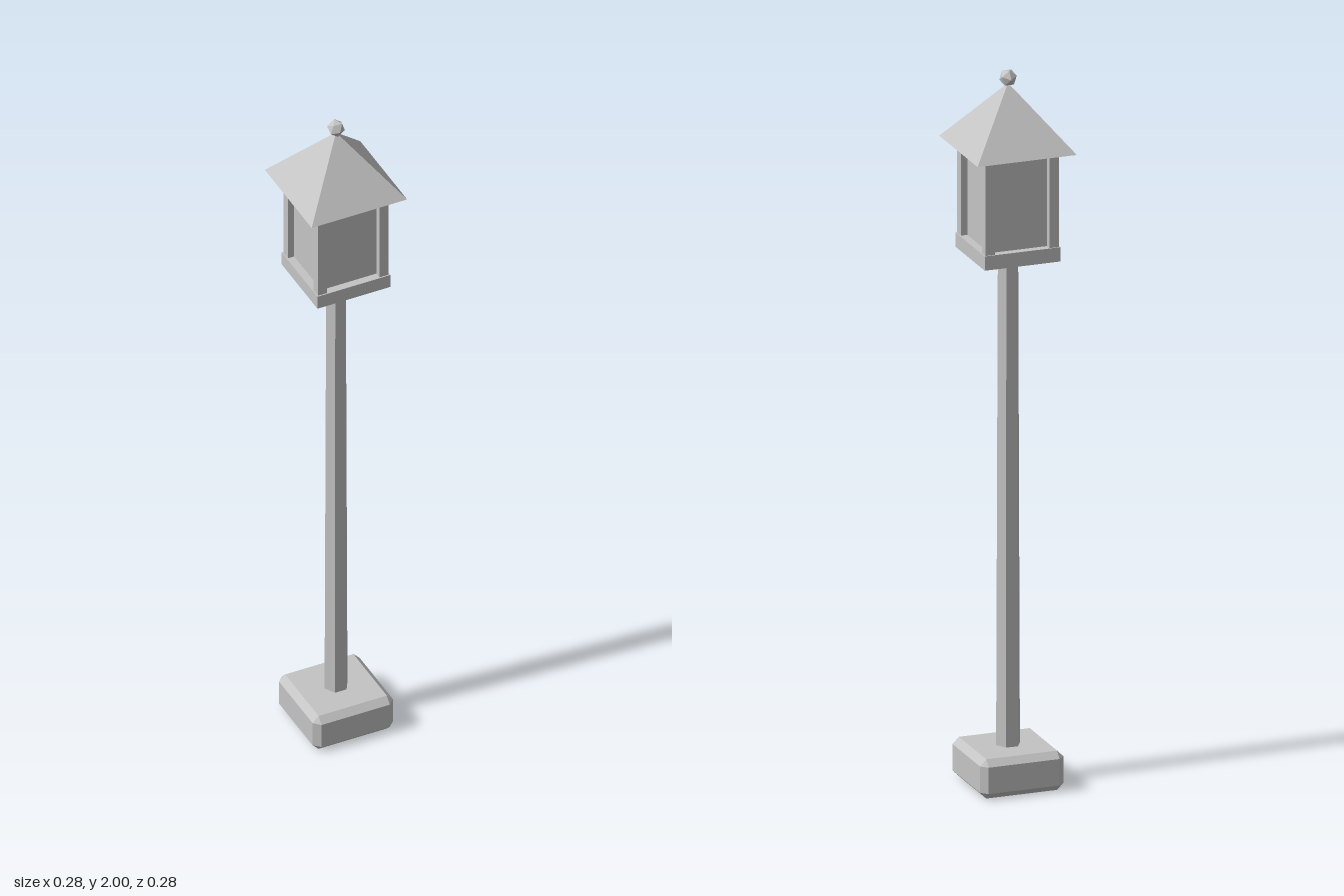
import * as THREE from 'three';
import { ConvexGeometry } from 'three/addons/geometries/ConvexGeometry.js';

const stone = new THREE.MeshStandardMaterial({ color: 0xc4c4c4, flatShading: true });
stone.name = 'light grey';

function add(group, name, geometry, x, y, z) {
  const mesh = new THREE.Mesh(geometry, stone);
  mesh.name = name;
  mesh.position.set(x, y, z);
  group.add(mesh);
  return mesh;
}

// Box with every edge cut by a flat bevel
function bevelledBox(w, h, d, c) {
  const points = [];
  for (const sx of [-1, 1]) for (const sy of [-1, 1]) for (const sz of [-1, 1]) {
    const x = w / 2, y = h / 2, z = d / 2;
    points.push(
      new THREE.Vector3(sx * x, sy * (y - c), sz * (z - c)),
      new THREE.Vector3(sx * (x - c), sy * y, sz * (z - c)),
      new THREE.Vector3(sx * (x - c), sy * (y - c), sz * z));
  }
  return new ConvexGeometry(points);
}

export function createModel() {
  const lamp = new THREE.Group();
  lamp.name = 'streetLamp';

  // Bevelled foot
  add(lamp, 'base', bevelledBox(0.238, 0.11, 0.238, 0.018), 0, 0.055, 0);

  // Tapered six-sided pole, corners towards the sides
  const pole = new THREE.CylinderGeometry(0.029, 0.034, 1.4, 6);
  pole.rotateY(Math.PI / 6);
  add(lamp, 'pole', pole, 0, 0.79, 0);

  // Lantern: floor plate, recessed panes and corner posts
  const lantern = new THREE.Group();
  lantern.name = 'lantern';
  lamp.add(lantern);
  add(lantern, 'lanternFloor', new THREE.BoxGeometry(0.216, 0.04, 0.216), 0, 1.503, 0);
  add(lantern, 'panes', new THREE.BoxGeometry(0.172, 0.268, 0.172), 0, 1.656, 0);
  for (const sx of [-1, 1]) for (const sz of [-1, 1]) {
    add(lantern, 'cornerPost', new THREE.BoxGeometry(0.027, 0.268, 0.027),
      sx * 0.091, 1.656, sz * 0.091);
  }

  // Pyramid roof
  const roof = new THREE.ConeGeometry(0.2, 0.175, 4);
  roof.rotateY(Math.PI / 4);
  add(lamp, 'roof', roof, 0, 1.788 + 0.0875, 0);

  // Faceted ball on the tip, one corner facing the front
  const ball = new THREE.IcosahedronGeometry(0.0245, 0);
  ball.rotateX(0.5536);
  add(lamp, 'finial', ball, 0, 1.978, 0);

  return lamp;
}
